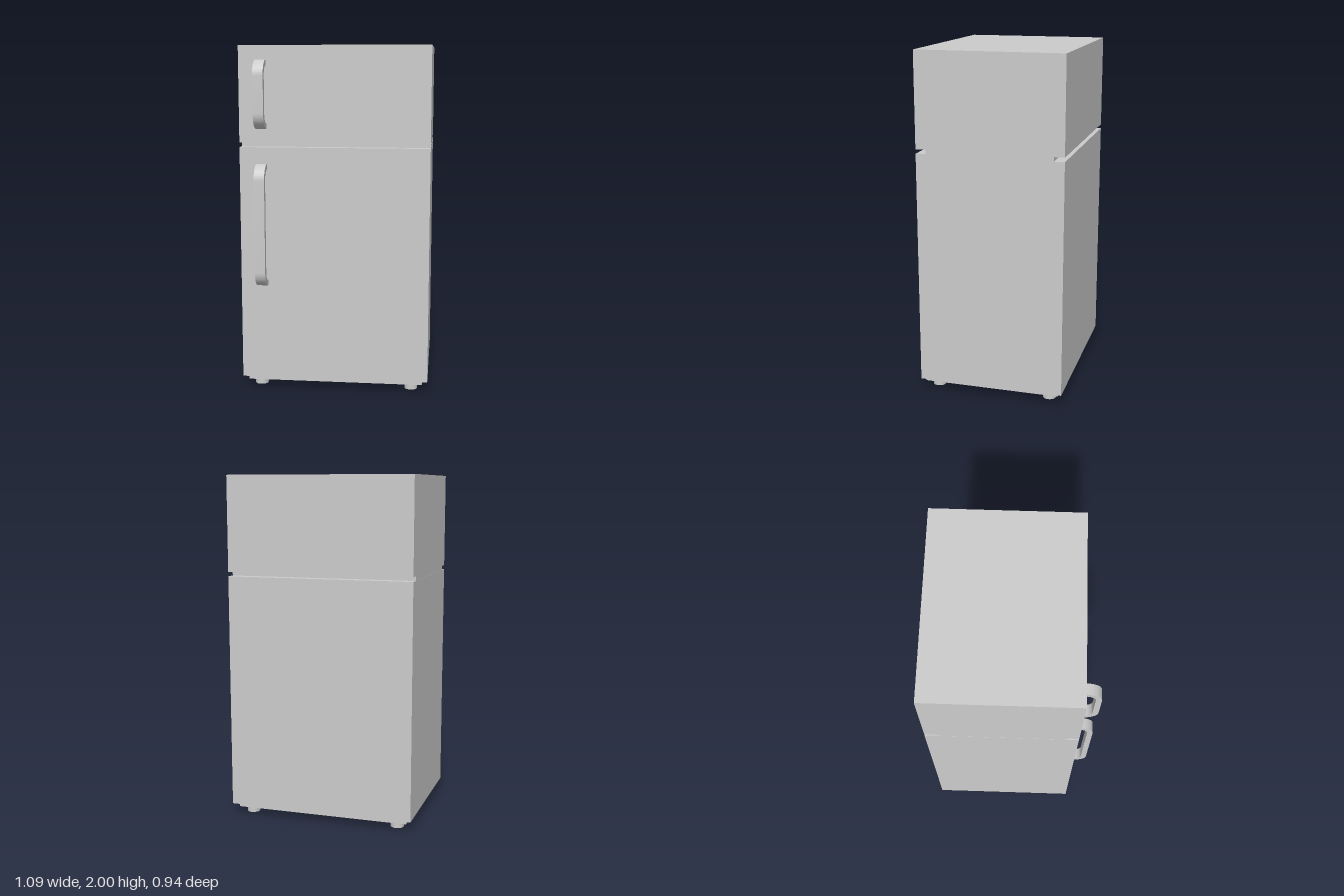
import * as THREE from 'three';
import { toCreasedNormals } from 'three/addons/utils/BufferGeometryUtils.js';

const FRONT = 0.38, BACK = -0.47, HALF_WIDTH = 0.545;

export function createModel() {
  const model = new THREE.Group();
  const material = new THREE.MeshStandardMaterial({ color: 0xcccccc });

  function add(name, geometry) {
    const mesh = new THREE.Mesh(geometry, material);
    mesh.name = name;
    model.add(mesh);
    return mesh;
  }

  // Box given by its half width and its y and z ranges
  function addBox(name, halfWidth, y0, y1, z0, z1) {
    const box = add(name, new THREE.BoxGeometry(2 * halfWidth, y1 - y0, z1 - z0));
    box.position.set(0, (y0 + y1) / 2, (z0 + z1) / 2);
  }

  // Cabinet: plinth, lower compartment, recessed joint, freezer
  addBox('plinth', 0.513, 0.038, 0.062, -0.443, 0.36);
  addBox('lowerCompartment', HALF_WIDTH, 0.062, 1.425, BACK, FRONT);
  addBox('recessedJoint', HALF_WIDTH - 0.001, 1.425, 1.45, -0.41, 0.322);
  addBox('freezerCompartment', HALF_WIDTH, 1.45, 2, BACK, FRONT);

  // Flat bar handle whose ends curve back into the door
  function addHandle(name, y0, y1) {
    const reach = 0.09, thickness = 0.032, width = 0.06;
    const inner = reach - thickness;
    const shape = new THREE.Shape();
    shape.moveTo(0, y0);
    shape.absarc(0, y0 + reach, reach, -Math.PI / 2, 0, false);
    shape.absarc(0, y1 - reach, reach, 0, Math.PI / 2, false);
    shape.lineTo(0, y1 - thickness);
    shape.absarc(0, y1 - reach, inner, Math.PI / 2, 0, true);
    shape.absarc(0, y0 + reach, inner, 0, -Math.PI / 2, true);
    shape.closePath();
    const bar = new THREE.ExtrudeGeometry(shape, { depth: width, bevelEnabled: false, curveSegments: 12 });
    bar.rotateY(-Math.PI / 2);
    add(name, toCreasedNormals(bar, 0.6)).position.set(-0.387, 0, FRONT);
  }
  addHandle('freezerHandle', 1.53, 1.92);
  addHandle('lowerHandle', 0.62, 1.33);

  // Four round feet
  for (const x of [-0.447, 0.447]) {
    for (const z of [0.298, -0.38]) {
      add('foot', new THREE.CylinderGeometry(0.038, 0.038, 0.04, 32)).position.set(x, 0.02, z);
    }
  }

  return model;
}
